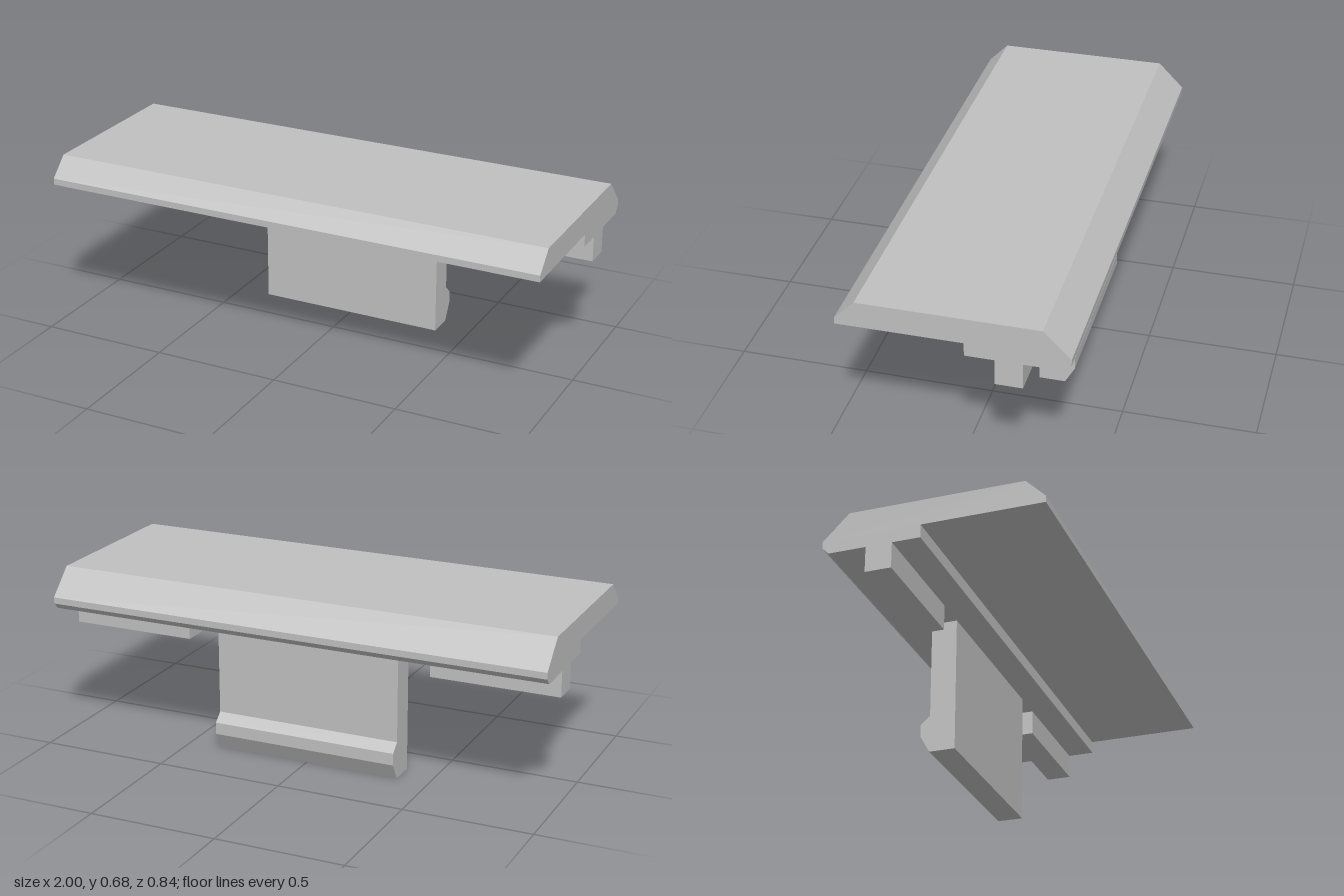
import * as THREE from 'three';

// Extrude a [z, y] outline along x, between x0 and x1
function extrudeAlongX(name, outline, x0, x1, material) {
  const shape = new THREE.Shape(outline.map(([z, y]) => new THREE.Vector2(-z, y)));
  const geometry = new THREE.ExtrudeGeometry(shape, { depth: x1 - x0, bevelEnabled: false });
  geometry.translate(0, 0, x0);
  geometry.rotateY(Math.PI / 2);
  const mesh = new THREE.Mesh(geometry, material);
  mesh.name = name;
  return mesh;
}

export function createModel() {
  const model = new THREE.Group();
  model.name = 'clipCover';
  const grey = new THREE.MeshStandardMaterial({ color: 0xc0c0c0 });
  grey.name = 'light grey';

  // Chamfered cover plate with a thicker rear half
  model.add(extrudeAlongX('coverPlate', [
    [0.418, 0.577], [0.418, 0.602], [0.344, 0.676], [-0.318, 0.676], [-0.418, 0.576],
    [-0.418, 0.551], [-0.393, 0.526], [-0.043, 0.526], [-0.043, 0.577],
  ], -1, 1, grey));

  // Central hanging tab with a snap hook on its back
  model.add(extrudeAlongX('clipTab', [
    [-0.15, 0], [-0.15, 0.526], [-0.25, 0.526], [-0.25, 0.146],
    [-0.287, 0.113], [-0.287, 0.066], [-0.25, 0],
  ], -0.373, 0.373, grey));

  // Short locating ribs at both ends
  for (const [side, name] of [[1, 'leftRib'], [-1, 'rightRib']]) {
    const rib = new THREE.Mesh(new THREE.BoxGeometry(0.5, 0.1, 0.1), grey);
    rib.position.set(side * 0.75, 0.476, -0.2);
    rib.name = name;
    model.add(rib);
  }
  return model;
}
